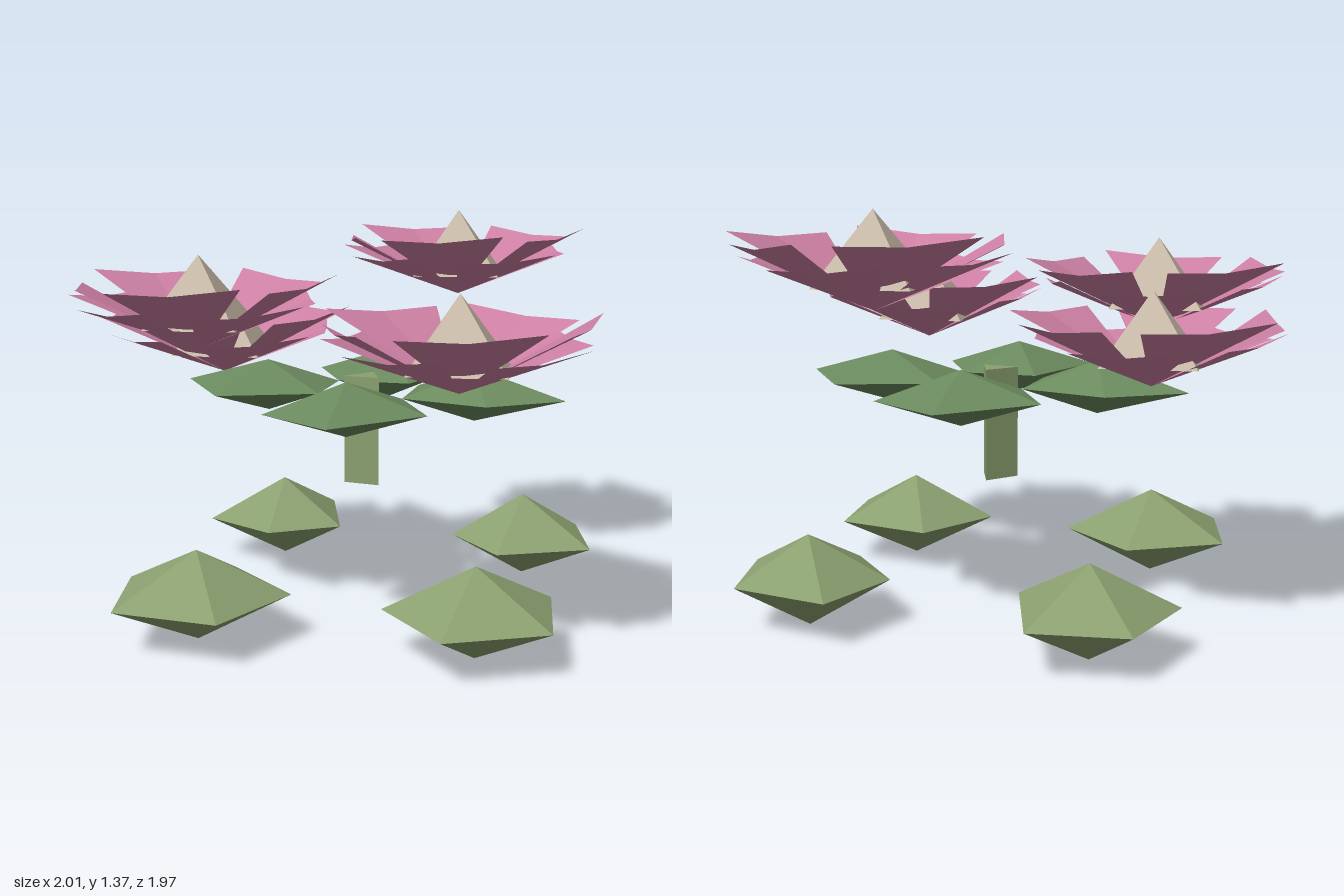
import * as THREE from 'three';

const mat = (color) => new THREE.MeshStandardMaterial({ color, flatShading: true, side: THREE.DoubleSide });
const bushMat = mat(0x8ba070), leafMat = mat(0x6b8a5e), petalMat = mat(0xcc7fa3), coreMat = mat(0xcbbcab);

// Mesh from a list of triangles, each three [x, y, z] corners
function facetMesh(name, triangles, material) {
  const geo = new THREE.BufferGeometry();
  geo.setAttribute('position', new THREE.Float32BufferAttribute(triangles.flat(2), 3));
  geo.computeVertexNormals();
  const mesh = new THREE.Mesh(geo, material);
  mesh.name = name;
  return mesh;
}

// Double pyramid over a flat outline of [x, z] corners, listed from +x towards +z
function bipyramid(name, outline, apex, y, h, material) {
  const [ax, az] = apex;
  const tris = [];
  outline.forEach((p, i) => {
    const q = outline[(i + 1) % outline.length];
    const a = [p[0], y, p[1]], b = [q[0], y, q[1]];
    tris.push([a, [ax, y + h, az], b], [b, [ax, y - h, az], a]);
  });
  return facetMesh(name, tris, material);
}

const polar = (r, deg, y) => {
  const a = THREE.MathUtils.degToRad(deg);
  return [r * Math.cos(a), y, r * Math.sin(a)];
};

const pentagon = (r, deg) => [0, 1, 2, 3, 4].map((i) => {
  const p = polar(r, deg + i * 72, 0);
  return [p[0], p[2]];
});

// Petal: two facets folded along the middle, slightly twisted at the rim
function petal(name, deg, half, r, y) {
  const base = [0, 0, 0];
  const left = polar(r, deg - half, y), right = polar(r * 0.94, deg + half, y - 0.02);
  const mid = polar(r * 0.87, deg, y - 0.025);
  return facetMesh(name, [[base, left, mid], [base, mid, right]], petalMat);
}

function flower(x, y, z, deg) {
  const g = new THREE.Group();
  g.name = 'flower';
  for (let i = 0; i < 5; i++) {
    g.add(petal('upperPetal', deg + i * 72, 29, 0.46, 0.24 - 0.015 * (i % 2)));
    g.add(petal('lowerPetal', deg + 36 + i * 72, 27, 0.43, 0.165 + 0.015 * (i % 2)));
  }
  const core = new THREE.Mesh(new THREE.ConeGeometry(0.22, 0.235, 4), coreMat);
  core.name = 'flowerCore';
  core.position.y = 0.075 + 0.1175;
  g.add(core);
  g.position.set(x, y, z);
  return g;
}

export function createModel() {
  const root = new THREE.Group();
  root.name = 'flowerCluster';

  // Ground bushes: centre and outline around it
  const bushes = [
    [-0.72, -0.115, [[0.275, -0.07], [0.18, 0.2], [-0.13, 0.26], [-0.265, -0.045], [-0.05, -0.28]]],
    [0.05, -0.68, [[0.31, -0.044], [0.15, 0.27], [-0.15, 0.22], [-0.26, -0.08], [0.043, -0.247]]],
    [-0.093, 0.66, pentagon(0.31, 20)],
    [0.6, 0.055, pentagon(0.3, -10)],
  ];
  for (const [x, z, outline] of bushes) {
    const bush = bipyramid('groundBush', outline, [0, 0], 0.153, 0.153, bushMat);
    bush.position.set(x, 0, z);
    root.add(bush);
  }

  // Three-sided stem
  const stem = new THREE.Mesh(new THREE.CylinderGeometry(0.075, 0.075, 0.38, 3), bushMat);
  stem.name = 'stem';
  stem.rotation.y = Math.PI / 2;
  stem.position.set(-0.062, 0.628, -0.016);
  root.add(stem);

  // Four leaves around the stem: two outlines, each repeated at a half turn
  const leaves = [
    [[0.24, 0.28], [[0.48, 0.14], [0.45, 0.515], [0.14, 0.54], [0, 0.18], [0.205, 0.02]]],
    [[0.3, -0.22], [[0.49, -0.1], [0.205, 0.02], [0.04, -0.19], [0.22, -0.49], [0.575, -0.38]]],
  ];
  for (const [apex, outline] of leaves) {
    for (const turn of [0, Math.PI]) {
      const leaf = bipyramid('stemLeaf', outline, apex, 0.77, 0.09, leafMat);
      leaf.position.set(-0.045, 0, -0.02);
      leaf.rotation.y = turn;
      root.add(leaf);
    }
  }

  // Flowers: x, base height, z, turn in degrees
  const flowers = [
    [-0.2, 1.055, -0.56, 51],
    [0.55, 0.855, 0.09, 38],
    [-0.27, 0.94, 0.52, 44],
    [-0.56, 0.795, 0.25, 52],
  ];
  for (const f of flowers) root.add(flower(...f));

  return root;
}
